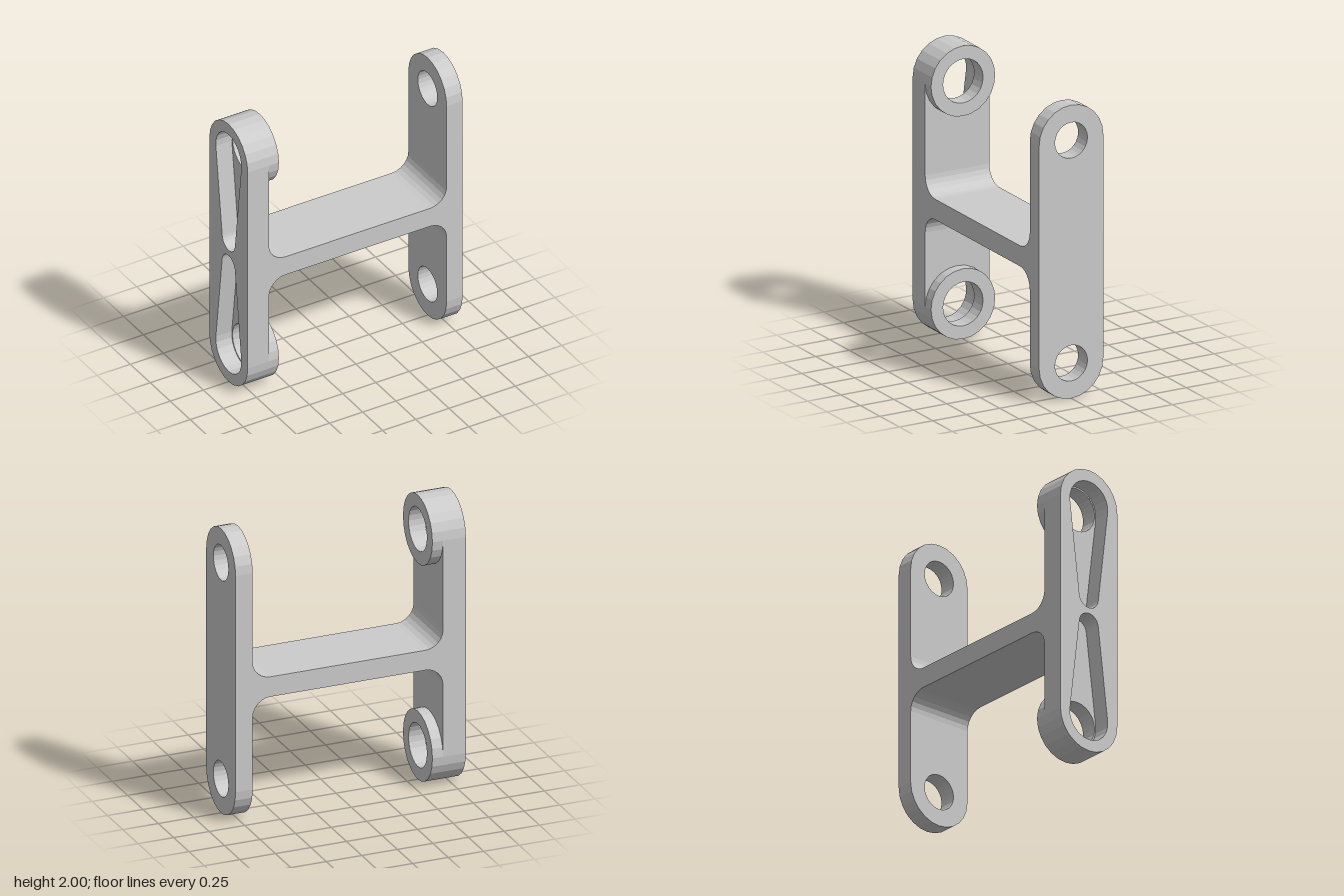
import * as THREE from 'three';

const R = 0.24;              // end radius of arms = half depth
const EYES = [1.76, 0.24];   // eye centres (height)
const material = new THREE.MeshStandardMaterial({ color: 0xcccccc, flatShading: true });

// Full circle made of two half arcs (24 sides)
function circle(path, y, r) {
  path.absarc(0, y, r, 0, Math.PI, false);
  path.absarc(0, y, r, Math.PI, Math.PI * 2, false);
  return path;
}

// Rounded-end arm outline
function armShape() {
  const s = new THREE.Shape();
  s.absarc(0, EYES[0], R, 0, Math.PI, false);
  s.absarc(0, EYES[1], R, Math.PI, Math.PI * 2, false);
  s.closePath();
  return s;
}

// Tapered pocket: wide round end at the eye, narrow round end near mid-height
function pocket(flip) {
  const big = 0.16, small = 0.08, low = 1.1;
  const a = Math.asin((big - small) / (EYES[0] - low));
  const p = new THREE.Path();
  p.absarc(0, EYES[0], big, -a, Math.PI + a, false);
  p.absarc(0, low, small, Math.PI + a, Math.PI * 2 - a, false);
  p.closePath();
  if (!flip) return p;
  return new THREE.Path(p.getPoints(6).map(v => new THREE.Vector2(v.x, 2 - v.y)));
}

// Extrude a side-view outline from x0 to x1
function slab(name, shape, holes, x0, x1) {
  shape.holes.push(...holes);
  const g = new THREE.ExtrudeGeometry(shape, { depth: x1 - x0, bevelEnabled: false, curveSegments: 6 });
  g.rotateY(Math.PI / 2).translate(x0, 0, 0);
  const m = new THREE.Mesh(g, material);
  m.name = name;
  return m;
}

export function createModel() {
  const group = new THREE.Group();
  group.name = 'linkBracket';
  const eyeHoles = r => EYES.map(y => circle(new THREE.Path(), y, r));

  // Plain arm with two holes
  group.add(slab('plainArm', armShape(), eyeHoles(0.122), 0.69, 0.81));

  // Pocketed arm: hollowed outer layer, thin floor layer, two bosses
  const arm = new THREE.Group();
  arm.name = 'pocketedArm';
  arm.add(slab('pocketLayer', armShape(), [pocket(false), pocket(true)], -0.81, -0.69));
  arm.add(slab('armFloor', armShape(), eyeHoles(0.15), -0.69, -0.65));
  EYES.forEach((y, i) => arm.add(slab(i ? 'lowerBoss' : 'upperBoss',
    circle(new THREE.Shape(), y, R), [circle(new THREE.Path(), y, 0.15)], -0.65, -0.575)));
  group.add(arm);

  // Cross web with filleted corners where it meets the arms
  const x0 = -0.65, x1 = 0.69, y0 = 0.87, y1 = 1.01, f = 0.125, P = Math.PI;
  const web = new THREE.Shape();
  web.moveTo(x0, y0 - f);
  web.absarc(x0 + f, y0 - f, f, P, P / 2, true);
  web.absarc(x1 - f, y0 - f, f, P / 2, 0, true);
  web.lineTo(x1, y1 + f);
  web.absarc(x1 - f, y1 + f, f, 0, -P / 2, true);
  web.absarc(x0 + f, y1 + f, f, -P / 2, -P, true);
  web.closePath();
  const webGeometry = new THREE.ExtrudeGeometry(web, { depth: R * 2, bevelEnabled: false, curveSegments: 3 });
  webGeometry.translate(0, 0, -R);
  const webMesh = new THREE.Mesh(webGeometry, material);
  webMesh.name = 'crossWeb';
  group.add(webMesh);

  return group;
}
